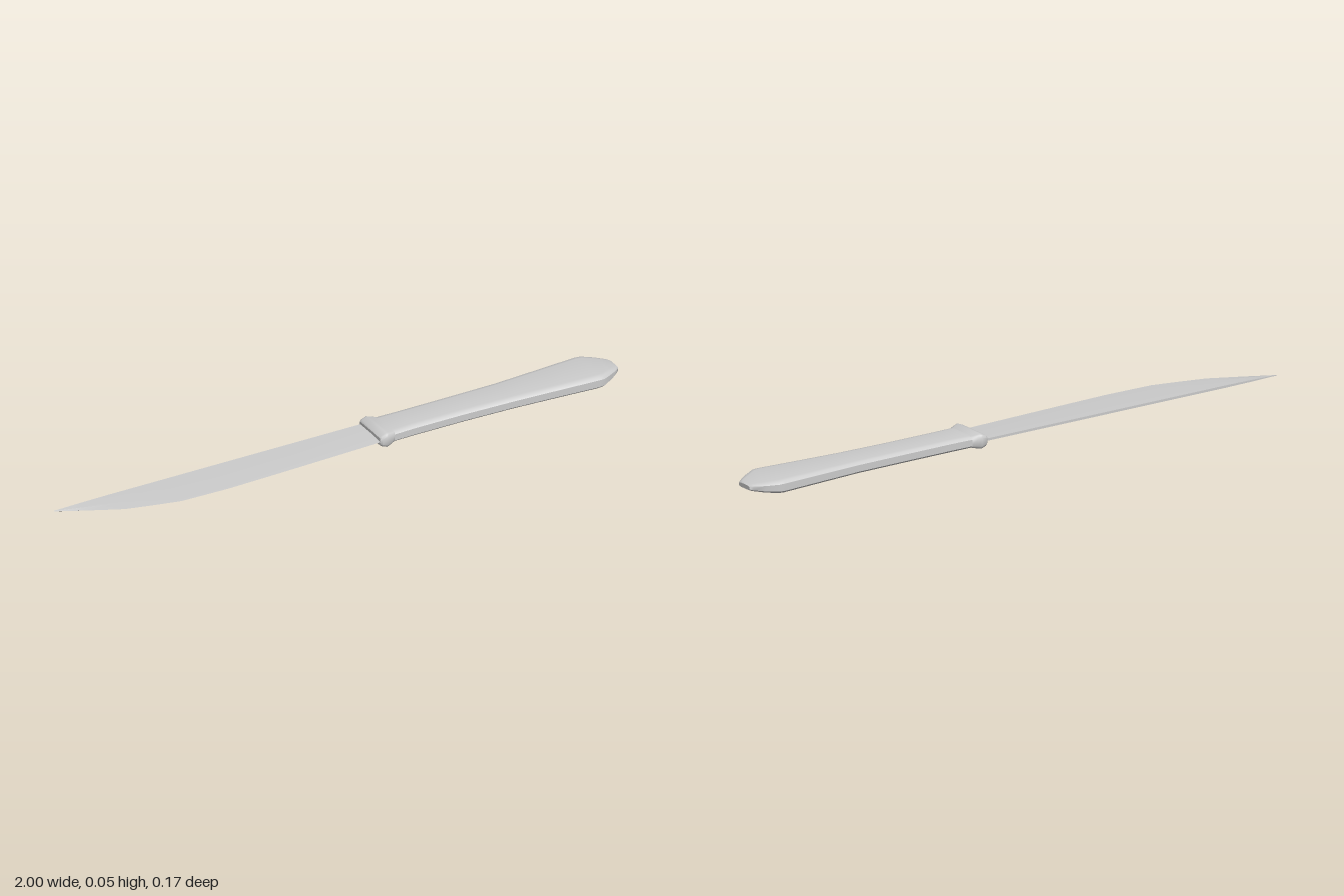
import * as THREE from 'three';
import { toCreasedNormals } from 'three/addons/utils/BufferGeometryUtils.js';

const MID = 0.025; // height of the knife's centre plane

// Skin a row of closed cross-sections along x; each is { x, ring: [[y, z], ...] }
function loft(sections, crease) {
  const n = sections[0].ring.length;
  const positions = [];
  const index = [];
  for (const { x, ring } of sections) {
    for (const [y, z] of ring) positions.push(x, MID + y, z);
  }
  for (let i = 0; i < sections.length - 1; i++) {
    for (let j = 0; j < n; j++) {
      const a = i * n + j;
      const b = i * n + ((j + 1) % n);
      index.push(a, b, a + n, b, b + n, a + n);
    }
  }
  // End caps
  const last = (sections.length - 1) * n;
  for (let j = 1; j < n - 1; j++) {
    index.push(0, j + 1, j);
    index.push(last, last + j, last + j + 1);
  }
  const geometry = new THREE.BufferGeometry();
  geometry.setAttribute('position', new THREE.Float32BufferAttribute(positions, 3));
  geometry.setIndex(index);
  return toCreasedNormals(geometry, crease);
}

// Flat-topped section with rounded sides: z range, half height, side rounding
function roundedSection([x, zBack, zFront, h, bevel]) {
  const side = [[1, 1], [0.9, 0.4], [0.55, 0], [-0.55, 0], [-0.9, 0.4], [-1, 1]];
  const front = side.map(([y, inset]) => [y * h, zFront - inset * bevel]);
  const back = side.map(([y, inset]) => [-y * h, zBack + inset * bevel]);
  return { x, ring: [...front, ...back] };
}

// Wedge section: thick straight spine at the back, fine edge at the front
function bladeSection([x, edge, half]) {
  const spine = -0.066;
  const belly = spine + (edge - spine) * 0.6;
  return {
    x,
    ring: [[half, spine], [half * 0.8, belly], [0, edge], [-half * 0.8, belly], [-half, spine]],
  };
}

export function createModel() {
  const knife = new THREE.Group();
  knife.name = 'knife';
  const material = new THREE.MeshStandardMaterial({ color: 0xcccccc });

  const add = (name, geometry) => {
    const mesh = new THREE.Mesh(geometry, material);
    mesh.name = name;
    knife.add(mesh);
  };

  // Blade: x, cutting edge z, half thickness
  add('blade', loft([
    [-1, -0.064, 0.001],
    [-0.9, -0.013, 0.003],
    [-0.8, 0.035, 0.004],
    [-0.71, 0.058, 0.004],
    [-0.62, 0.079, 0.004],
    [-0.45, 0.083, 0.004],
    [-0.27, 0.077, 0.004],
    [0.13, 0.061, 0.004],
  ].map(bladeSection), 0.7));

  // Collar between blade and handle: x, back z, front z, half height, rounding
  add('collar', loft([
    [0.114, -0.071, 0.062, 0.013, 0.01],
    [0.12, -0.077, 0.067, 0.018, 0.012],
    [0.138, -0.078, 0.068, 0.025, 0.012],
    [0.148, -0.075, 0.065, 0.023, 0.012],
    [0.172, -0.066, 0.057, 0.018, 0.014],
  ].map(roundedSection), 0.8));

  // Handle, flaring toward a blunt butt
  add('handle', loft([
    [0.14, -0.068, 0.059, 0.019, 0.02],
    [0.24, -0.065, 0.055, 0.02, 0.02],
    [0.42, -0.066, 0.055, 0.02, 0.02],
    [0.6, -0.068, 0.06, 0.02, 0.02],
    [0.76, -0.078, 0.069, 0.021, 0.021],
    [0.9, -0.087, 0.078, 0.022, 0.022],
    [0.92, -0.086, 0.077, 0.021, 0.023],
    [0.96, -0.065, 0.055, 0.016, 0.022],
    [0.99, -0.041, 0.033, 0.011, 0.014],
    [1, -0.032, 0.024, 0.007, 0.01],
  ].map(roundedSection), 0.8));

  return knife;
}
